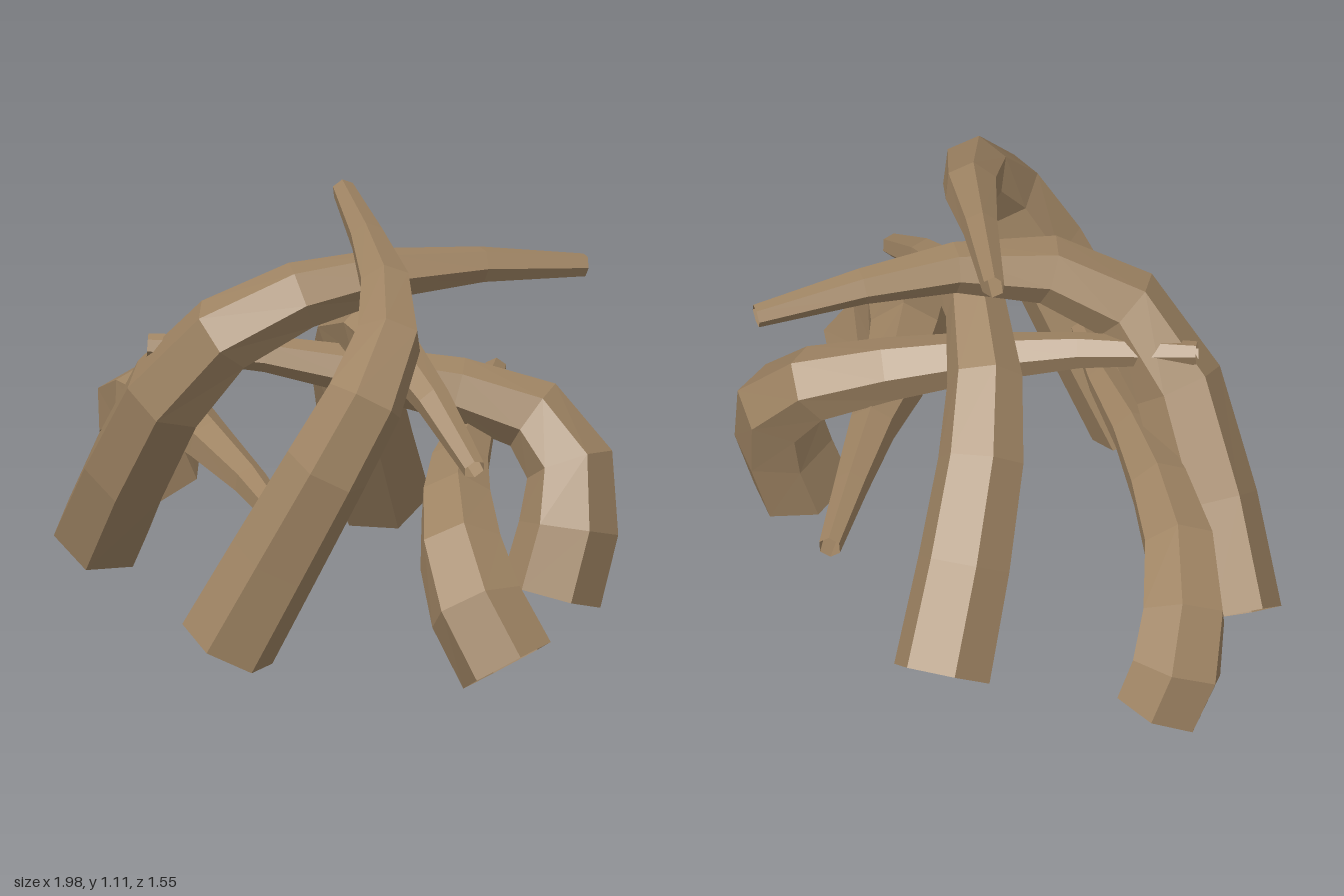
import * as THREE from 'three';

const wood = new THREE.MeshStandardMaterial({ color: 0xa08564, flatShading: true, side: THREE.DoubleSide });
wood.name = 'driftwood';

const SIDES = 6;

// Each root: roll of its cross-section in degrees, then centre-line points
// from the thick foot to the thin tip, as [x, y, z, radius].
const ROOTS = {
  frontRoot: [-20, [
    [0.15, 0.065, 0.65, 0.138], [0.27, 0.32, 0.59, 0.13], [0.4, 0.59, 0.53, 0.12], [0.47, 0.78, 0.45, 0.11],
    [0.45, 0.92, 0.32, 0.095], [0.32, 1.0, 0.17, 0.075], [0.12, 1.05, 0.0, 0.05], [-0.13, 1.08, -0.21, 0.032]]],
  rightFrontRoot: [0, [
    [-0.68, 0.07, 0.16, 0.135], [-0.51, 0.32, 0.25, 0.13], [-0.33, 0.59, 0.31, 0.125], [-0.16, 0.79, 0.28, 0.11],
    [0.0, 0.9, 0.14, 0.095], [0.15, 0.94, -0.07, 0.07], [0.28, 0.93, -0.3, 0.05], [0.43, 0.89, -0.56, 0.032]]],
  backRoot: [30, [
    [-0.3, 0.07, -0.59, 0.137], [-0.23, 0.32, -0.43, 0.13], [-0.15, 0.55, -0.28, 0.12], [-0.04, 0.7, -0.15, 0.105],
    [0.13, 0.79, -0.01, 0.085], [0.3, 0.77, 0.08, 0.065], [0.48, 0.7, 0.16, 0.05], [0.7, 0.58, 0.26, 0.032]]],
  leftBackRoot: [30, [
    [0.6, 0.075, -0.2, 0.14], [0.61, 0.25, -0.265, 0.137], [0.57, 0.41, -0.32, 0.122], [0.45, 0.53, -0.31, 0.105],
    [0.28, 0.6, -0.19, 0.088], [0.1, 0.65, -0.04, 0.07], [-0.13, 0.7, 0.13, 0.05], [-0.39, 0.72, 0.32, 0.032]]],
  rightRoot: [0, [
    [-0.84, 0.075, -0.3, 0.13], [-0.86, 0.19, -0.25, 0.135], [-0.82, 0.31, -0.18, 0.125], [-0.68, 0.4, -0.05, 0.107],
    [-0.48, 0.44, 0.08, 0.088], [-0.25, 0.44, 0.22, 0.066], [0.0, 0.42, 0.36, 0.048], [0.24, 0.4, 0.52, 0.032]]],
  leftRoot: [30, [
    [0.885, 0.08, 0.35, 0.138], [0.785, 0.23, 0.36, 0.135], [0.675, 0.345, 0.29, 0.122], [0.54, 0.41, 0.14, 0.105],
    [0.4, 0.43, -0.05, 0.088], [0.27, 0.45, -0.27, 0.066], [0.12, 0.45, -0.51, 0.048], [-0.03, 0.44, -0.75, 0.032]]],
};

// Tapered open tube swept along the centre line.
function rootGeometry(roll, path) {
  const centres = path.map(([x, y, z]) => new THREE.Vector3(x, y, z));
  const last = centres.length - 1;
  const positions = [], index = [];
  const tangents = centres.map((c, i) => {
    const after = centres[Math.min(i + 1, last)].clone().sub(c).normalize();
    const before = c.clone().sub(centres[Math.max(i - 1, 0)]).normalize();
    return after.add(before).normalize();
  });
  const u = new THREE.Vector3(0, 0, 1).cross(tangents[0]).normalize();
  u.applyAxisAngle(tangents[0], THREE.MathUtils.degToRad(roll));
  const turn = new THREE.Quaternion();

  centres.forEach((c, i) => {
    // carry the frame along without twisting it
    if (i > 0) u.applyQuaternion(turn.setFromUnitVectors(tangents[i - 1], tangents[i]));
    const v = tangents[i].clone().cross(u);
    for (let s = 0; s < SIDES; s++) {
      const a = (s / SIDES) * Math.PI * 2, r = path[i][3];
      const p = c.clone().addScaledVector(u, Math.cos(a) * r).addScaledVector(v, Math.sin(a) * r);
      positions.push(p.x, Math.max(p.y, 0), p.z);
    }
  });
  for (let i = 0; i < last; i++) {
    for (let s = 0; s < SIDES; s++) {
      const a = i * SIDES + s, b = i * SIDES + (s + 1) % SIDES;
      index.push(a, b, b + SIDES, a, b + SIDES, a + SIDES);
    }
  }

  const indexed = new THREE.BufferGeometry();
  indexed.setAttribute('position', new THREE.Float32BufferAttribute(positions, 3));
  indexed.setIndex(index);
  const geometry = indexed.toNonIndexed();
  geometry.computeVertexNormals();
  return geometry;
}

export function createModel() {
  const model = new THREE.Group();
  model.name = 'tangledRoots';
  for (const [name, [roll, path]] of Object.entries(ROOTS)) {
    const mesh = new THREE.Mesh(rootGeometry(roll, path), wood);
    mesh.name = name;
    model.add(mesh);
  }
  return model;
}
